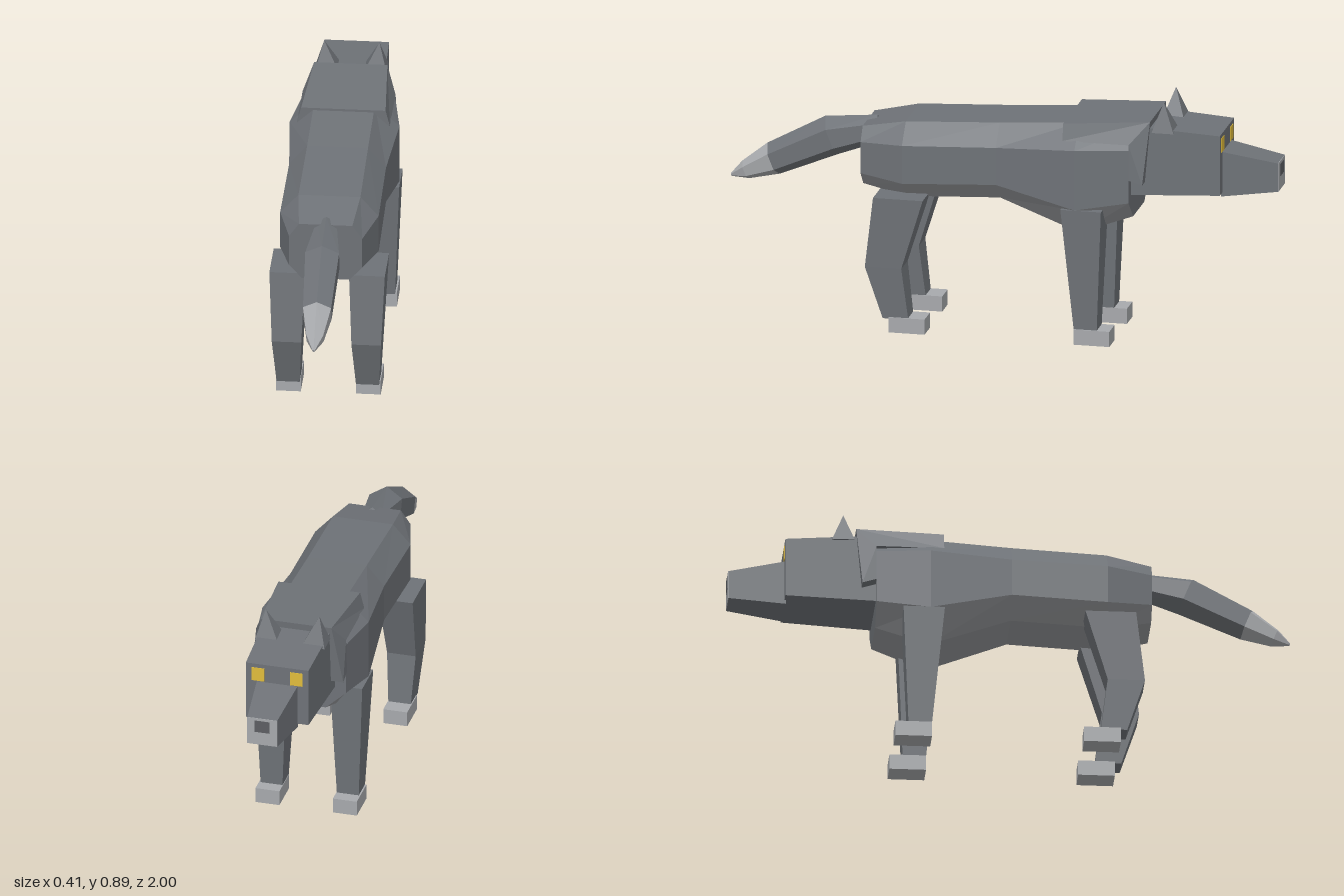
import * as THREE from 'three';

const material = (name, color) => {
  const m = new THREE.MeshStandardMaterial({ color });
  m.name = name;
  return m;
};

// Closed faceted solid through a series of rings of [x, y, z] points.
// Side strips listed in `second` take the second material.
function loft(rings, second = []) {
  const tris = [], n = rings[0].length;
  const geo = new THREE.BufferGeometry();
  for (let i = 0; i < n; i++) {
    const j = (i + 1) % n, start = tris.length * 3;
    for (let r = 0; r < rings.length - 1; r++) {
      const a = rings[r], b = rings[r + 1];
      tris.push([a[i], a[j], b[j]], [a[i], b[j], b[i]]);
    }
    geo.addGroup(start, tris.length * 3 - start, second.includes(i) ? 1 : 0);
  }
  const first = rings[0], last = rings[rings.length - 1];
  geo.addGroup(tris.length * 3, (n - 2) * 6, 0);
  for (let i = 1; i < n - 1; i++) {
    tris.push([first[0], first[i + 1], first[i]], [last[0], last[i], last[i + 1]]);
  }
  // Turn the faces outward if the rings ran the other way
  let volume = 0;
  for (const t of tris) {
    const [a, b, c] = t.map(p => new THREE.Vector3(...p));
    volume += a.dot(b.cross(c));
  }
  if (volume < 0) tris.forEach(t => t.reverse());
  geo.setAttribute('position', new THREE.Float32BufferAttribute(tris.flat(2), 3));
  geo.computeVertexNormals();
  return geo;
}

// Upright rectangle across the body
const frame = (z, w, y0, y1) => [[-w, y0, z], [w, y0, z], [w, y1, z], [-w, y1, z]];
// Level rectangle across a leg
const slab = (y, x0, x1, z0, z1) => [[x0, y, z0], [x1, y, z0], [x1, y, z1], [x0, y, z1]];

export function createModel() {
  const model = new THREE.Group();
  model.name = 'wolf';
  const fur = material('dark grey fur', 0x6e7277);
  const belly = material('belly grey', 0x95979a);
  const pale = material('pale grey fur', 0xa7a9ac);
  const amber = material('amber', 0xe0bc3c);
  const dark = material('nose grey', 0x5c5e62);

  const add = (name, geo, mat, parent = model) => {
    const mesh = new THREE.Mesh(geo, mat);
    mesh.name = name;
    parent.add(mesh);
    return mesh;
  };

  // Torso: eight-sided sections [z, half width, top half, bottom half, bottom, low side, high side, top]
  const torso = [
    [0.5, 0.13, 0.095, 0.085, 0.515, 0.565, 0.68, 0.73],
    [0.34, 0.175, 0.11, 0.1, 0.483, 0.55, 0.69, 0.762],
    [0, 0.172, 0.108, 0.1, 0.5, 0.568, 0.705, 0.78],
    [-0.29, 0.195, 0.108, 0.11, 0.393, 0.5, 0.72, 0.8],
    [-0.48, 0.165, 0.1, 0.09, 0.46, 0.53, 0.725, 0.79],
  ].map(([z, w, t, b, y0, y1, y2, y3]) => [
    [b, y0, z], [w, y1, z], [w, y2, z], [t, y3, z],
    [-t, y3, z], [-w, y2, z], [-w, y1, z], [-b, y0, z],
  ]);
  // The three lower strips are the lighter belly
  add('torso', loft(torso, [0, 6, 7]), [fur, belly]);

  // Mane: side profile in (-z, y), widened downward
  const profile = [[0.24, 0.745], [0.48, 0.745], [0.48, 0.615], [0.53, 0.6], [0.55, 0.825], [0.24, 0.805]];
  let mane = new THREE.ExtrudeGeometry(
    new THREE.Shape(profile.map(p => new THREE.Vector2(...p))), { depth: 1, bevelEnabled: false });
  mane.rotateY(Math.PI / 2);
  const pos = mane.attributes.position;
  for (let i = 0; i < pos.count; i++) {
    const y = pos.getY(i);
    const w = y > 0.805 ? 0.15 - (y - 0.805) : Math.min(0.168, 0.15 + (0.805 - y) * 0.25);
    pos.setX(i, pos.getX(i) > 0.5 ? w : -w);
  }
  if (mane.index) mane = mane.toNonIndexed();
  mane.computeVertexNormals();
  add('mane', mane, fur);

  // Head and snout, with a pale muzzle front
  const head = new THREE.Group();
  head.name = 'head';
  model.add(head);
  add('skull', loft([frame(-0.45, 0.125, 0.548, 0.806), frame(-0.8, 0.115, 0.565, 0.785)]), fur, head);
  add('snout', loft([frame(-0.795, 0.075, 0.55, 0.716), frame(-0.997, 0.055, 0.575, 0.68)]), fur, head);
  add('muzzleFront', loft([frame(-0.996, 0.055, 0.575, 0.68), frame(-0.999, 0.055, 0.575, 0.68)]), pale, head);
  add('nose', new THREE.BoxGeometry(0.055, 0.045, 0.004), dark, head).position.set(0, 0.648, -0.999);

  // Eyes and ears
  for (const s of [1, -1]) {
    add('eye', new THREE.BoxGeometry(0.046, 0.052, 0.004), amber, head).position.set(s * 0.07, 0.744, -0.8);
    const base = slab(0.785, s * 0.043, s * 0.128, -0.635, -0.555);
    const point = slab(0.89, s * 0.0975, s * 0.0985, -0.594, -0.593);
    add('ear', loft([base, point]), fur, head);
  }

  // Tail: six-sided sections leaning with the slope [z, centre y, half width, half height]
  const tail = [
    [0.45, 0.7, 0.035, 0.045],
    [0.63, 0.66, 0.06, 0.068],
    [0.845, 0.558, 0.05, 0.056],
    [0.945, 0.51, 0.03, 0.032],
    [0.998, 0.487, 0.004, 0.005],
  ].map(([z, y, w, h]) => [[0, 1], [1, 0.5], [1, -0.5], [0, -1], [-1, -0.5], [-1, 0.5]]
    .map(([u, v]) => [u * w, y + v * h, z + v * h * 0.4]));
  add('tail', loft(tail.slice(0, 3)), fur);
  add('tailTip', loft(tail.slice(2)), pale);

  // Legs and paws on both sides
  for (const s of [1, -1]) {
    const limb = sections => loft(sections.map(([y, a, b, c, d]) => slab(y, s * a, s * b, c, d)));
    add('frontLeg', limb([
      [0.5, 0.08, 0.198, -0.387, -0.24],
      [0.05, 0.1, 0.18, -0.368, -0.285],
    ]), fur);
    add('hindLeg', limb([
      [0.5, 0.078, 0.205, 0.258, 0.438],
      [0.24, 0.089, 0.194, 0.338, 0.47],
      [0.05, 0.1, 0.182, 0.315, 0.408],
    ]), fur);
    for (const [name, z] of [['frontPaw', -0.35], ['hindPaw', 0.32]]) {
      add(name, new THREE.BoxGeometry(0.088, 0.056, 0.13), pale).position.set(s * 0.142, 0.028, z);
    }
  }
  return model;
}
